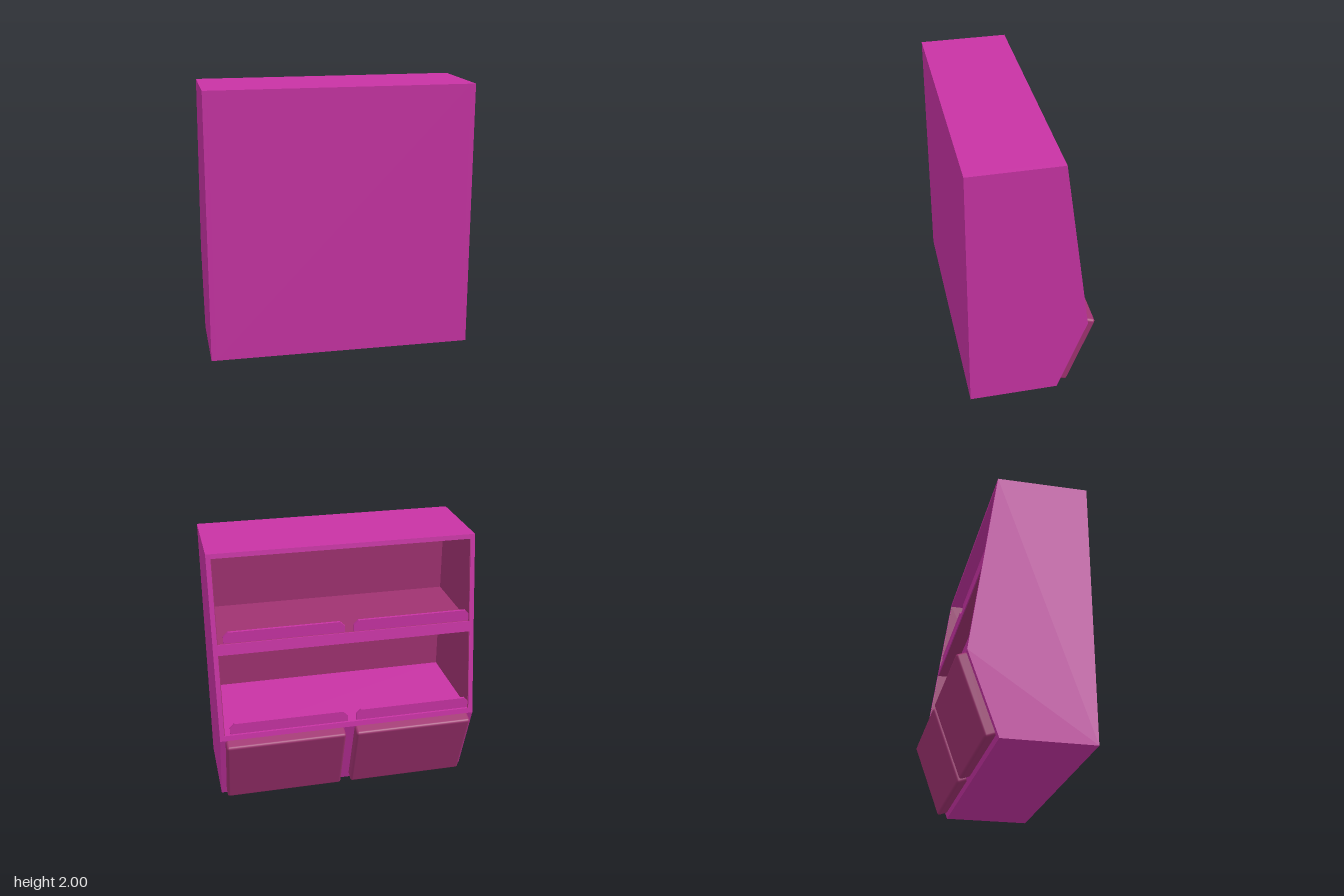
import * as THREE from 'three';
import { RoundedBoxGeometry } from 'three/addons/geometries/RoundedBoxGeometry.js';

const HALF = 0.985, WALL = 0.034, FRONT = 0.475, INNER = 0.4;
const FLOOR = 0.645, SHELF = 1.344, SHELF_T = 0.08, KINK = 0.605;
const INSIDE = 2 * (HALF - WALL);
// z of the sloping rear opening at height y
const slope = (y) => -0.195 - 0.1505 * (2 - y);

export function createModel() {
  const model = new THREE.Group();
  const magenta = new THREE.MeshStandardMaterial({ color: 0xc833a4 });
  magenta.name = 'magenta';
  const rose = new THREE.MeshStandardMaterial({ color: 0xa03271 });
  rose.name = 'rose';

  const add = (name, geometry, material, x = 0, y = 0, z = 0, parent = model) => {
    const mesh = new THREE.Mesh(geometry, material);
    mesh.name = name;
    mesh.position.set(x, y, z);
    parent.add(mesh);
    return mesh;
  };
  // Extrudes a [z, y] profile along x, centred on x = 0
  const prism = (points, width) => {
    const shape = new THREE.Shape(points.map(([z, y]) => new THREE.Vector2(z, y)));
    const g = new THREE.ExtrudeGeometry(shape, { depth: width, bevelEnabled: false });
    return g.translate(0, 0, -width / 2).rotateY(-Math.PI / 2);
  };
  // A level board from the front panel to the sloping opening
  const board = (y0, y1, inset = 0) =>
    [[INNER, y0], [INNER, y1], [slope(y1) + inset, y1], [slope(y0) + inset, y0]];

  // Side panels with coloured inner faces
  const profile = [[FRONT, 0], [FRONT, 2], [slope(2), 2], [slope(KINK), KINK], [-0.19, 0]];
  for (const s of [-1, 1]) {
    add('sidePanel', prism(profile, WALL), magenta, s * (HALF - WALL / 2));
    add('sideLining', prism(board(FLOOR, 2 - WALL, 0.003), 0.004), rose, s * (HALF - WALL - 0.002));
  }

  // Closed front, top and lower body
  add('frontPanel', new THREE.BoxGeometry(INSIDE, 2, FRONT - INNER), magenta, 0, 1, (FRONT + INNER) / 2);
  add('frontLining', new THREE.BoxGeometry(INSIDE, 2 - WALL - FLOOR, 0.004), rose,
    0, (2 - WALL + FLOOR) / 2, INNER - 0.002);
  add('topPanel', prism(board(2 - WALL, 2), INSIDE), magenta);
  add('lowerBody', prism([[INNER, 0], [INNER, FLOOR], [slope(FLOOR), FLOOR],
    [slope(KINK), KINK], [-0.19, 0]], INSIDE), magenta);

  // Middle shelf with its edge strip
  add('shelf', prism(board(SHELF - SHELF_T, SHELF, 0.008), INSIDE), rose);
  const low = SHELF - SHELF_T;
  add('shelfEdge', prism([[slope(low) + 0.008, low], [slope(SHELF) + 0.008, SHELF],
    [slope(SHELF), SHELF], [slope(low), low]], INSIDE), magenta);

  // Retaining lips with clipped upper corners
  const L = 0.895, H = 0.085, C = 0.035;
  const lip = new THREE.Shape([[0, 0], [L, 0], [L, H - C], [L - C, H], [C, H], [0, H - C]]
    .map(([x, y]) => new THREE.Vector2(x, y)));
  const lipGeometry = new THREE.ExtrudeGeometry(lip, { depth: 0.02, bevelEnabled: false });
  for (const [y, z] of [[FLOOR, -0.383], [SHELF, -0.277]])
    for (const x of [-0.953, 0.01]) add('shelfLip', lipGeometry, magenta, x, y, z);

  // Pair of tilted doors on the lower slope
  const doors = new THREE.Group();
  doors.name = 'doors';
  doors.position.z = -0.19;
  doors.rotation.x = -Math.atan2(-0.19 - slope(KINK), KINK);
  const doorGeometry = new RoundedBoxGeometry(0.905, 0.605, 0.097, 2, 0.02);
  for (const s of [-1, 1]) add('door', doorGeometry, rose, s * 0.4925, 0.34, -0.0285, doors);
  model.add(doors);

  return model;
}
